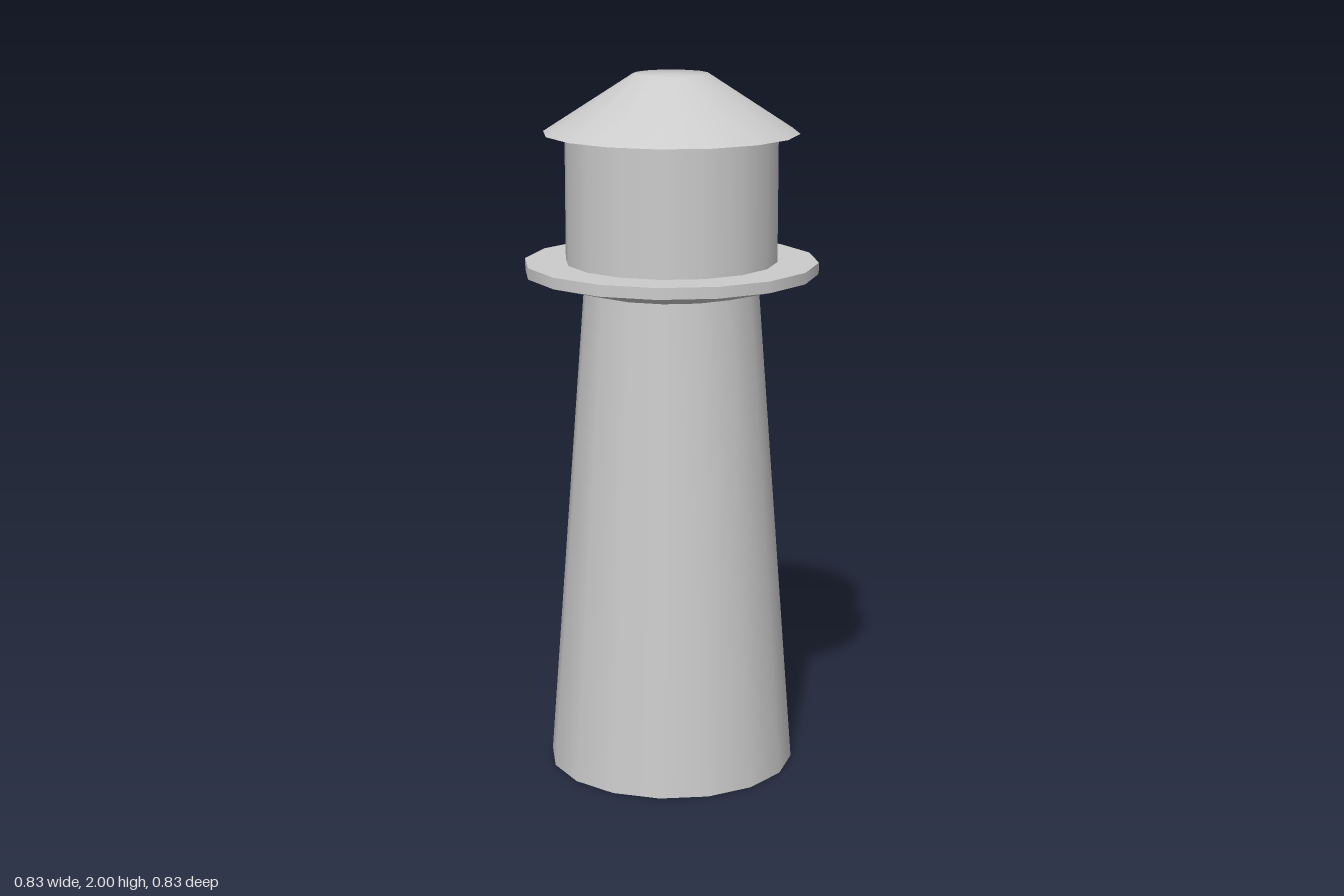
import * as THREE from 'three';

const SIDES = 16;

export function createModel() {
  const group = new THREE.Group();
  const material = new THREE.MeshStandardMaterial({ color: 0xcccccc, side: THREE.DoubleSide });

  // Turns a [radius, height] profile, listed from the bottom up, around the y axis
  function turned(name, profile) {
    const points = profile.map(([r, y]) => new THREE.Vector2(r, y));
    const mesh = new THREE.Mesh(new THREE.LatheGeometry(points, SIDES), material);
    mesh.name = name;
    group.add(mesh);
  }

  // Tapered shaft, open at the base
  turned('tower', [[0.354, 0], [0.248, 1.4]]);

  // Gallery: sloping underside, upright rim and flat walkway, with sharp edges between
  turned('galleryUnderside', [[0.248, 1.4], [0.415, 1.445]]);
  turned('galleryRim', [[0.415, 1.445], [0.415, 1.477]]);
  turned('galleryFloor', [[0.415, 1.477], [0.299, 1.477]]);

  // Lantern room
  turned('lanternRoom', [[0.299, 1.477], [0.299, 1.832]]);

  // Roof: narrow eave below, smooth blunt cone above
  turned('eave', [[0.299, 1.832], [0.359, 1.837]]);
  turned('roof', [[0.359, 1.837], [0.106, 2], [0, 2]]);

  return group;
}
